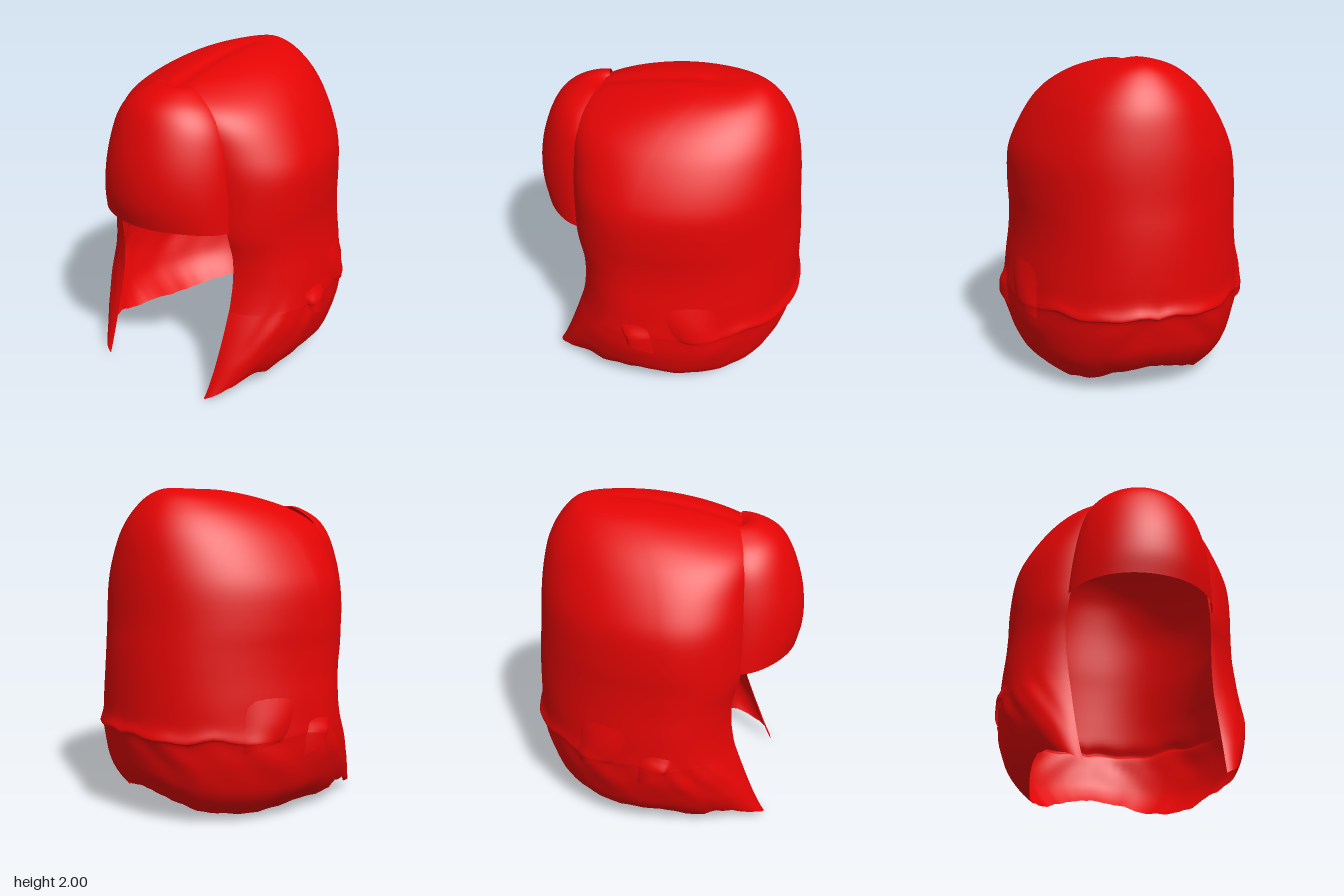
import * as THREE from 'three';

const red = new THREE.MeshStandardMaterial({ color: 0xe40404, side: THREE.DoubleSide });
red.name = 'hairRed';

const clamp01 = (x) => THREE.MathUtils.clamp(x, 0, 1);

// Smooth interpolation through the rows of a small table, k = fractional row index
function at(table, k) {
  const last = table.length - 1;
  const i = Math.min(Math.floor(k), last - 1), t = k - i;
  const row = (n) => table[Math.max(0, Math.min(last, n))];
  const [p, a, b, q] = [row(i - 1), row(i), row(i + 1), row(i + 2)];
  return a.map((_, c) => {
    const m0 = (b[c] - p[c]) / 2, m1 = (q[c] - a[c]) / 2, d = b[c] - a[c];
    return a[c] + m0 * t + (3 * d - 2 * m0 - m1) * t * t + (m0 + m1 - 2 * d) * t * t * t;
  });
}

// Linear lookup in a list of [key, value]
function lookup(list, x) {
  for (let i = 1; i < list.length; i++) {
    const [x0, y0] = list[i - 1], [x1, y1] = list[i];
    if (x <= x1) return y0 + (y1 - y0) * (x - x0) / (x1 - x0);
  }
  return list[list.length - 1][1];
}

// Grid surface from point(u, v), both 0..1
function surface(name, nu, nv, point) {
  const pos = [], idx = [];
  for (let j = 0; j <= nv; j++) {
    for (let i = 0; i <= nu; i++) {
      pos.push(...point(i / nu, j / nv));
      if (i < nu && j < nv) {
        const a = j * (nu + 1) + i, c = a + nu + 1;
        idx.push(a, a + 1, c, a + 1, c + 1, c);
      }
    }
  }
  const g = new THREE.BufferGeometry();
  g.setAttribute('position', new THREE.Float32BufferAttribute(pos, 3));
  g.setIndex(idx);
  g.computeVertexNormals();
  const mesh = new THREE.Mesh(g, red);
  mesh.name = name;
  return mesh;
}

// Hair levels, top to bottom: y, half width, back z, widest z, front edge x, front edge z
const levels = [
  [2.0, 0.0, -0.44, -0.28, 0, -0.12],
  [1.99, 0.12, -0.52, -0.25, 0, -0.05],
  [1.95, 0.26, -0.59, -0.18, 0, 0.2],
  [1.88, 0.385, -0.655, -0.08, 0, 0.47],
  [1.8, 0.48, -0.705, -0.02, 0.22, 0.51],
  [1.7, 0.565, -0.745, 0.03, 0.32, 0.53],
  [1.55, 0.655, -0.775, 0.06, 0.375, 0.53],
  [1.4, 0.713, -0.792, 0.08, 0.41, 0.53],
  [1.2, 0.728, -0.805, 0.08, 0.43, 0.53],
  [1.05, 0.725, -0.82, 0.08, 0.45, 0.52],
  [0.9, 0.732, -0.83, 0.08, 0.46, 0.485],
  [0.75, 0.75, -0.835, 0.08, 0.455, 0.48],
  [0.62, 0.762, -0.84, 0.08, 0.447, 0.495],
  [0.55, 0.769, -0.865, 0.08, 0.443, 0.509],
  [0.52, 0.77, -0.84, 0.08, 0.441, 0.518],
  [0.38, 0.765, -0.82, 0.08, 0.435, 0.565],
  [0.2, 0.72, -0.79, 0.08, 0.425, 0.63],
  [0.08, 0.675, -0.745, 0.06, 0.415, 0.68],
  [0.0, 0.63, -0.7, 0.05, 0.405, 0.72],
];

// Ragged bottom edge: 0 = back, 0.5 = side, 1 = front
const hem = [[0, 0.18], [0.1, 0.15], [0.2, 0.08], [0.28, 0.05], [0.4, 0.03], [0.5, 0.06],
  [0.64, 0.08], [0.68, 0.12], [0.74, 0.11], [0.88, 0.05], [1, 0]];

const wobble = (a, s) => Math.sin(a * 31 + s) * 0.6 + Math.sin(a * 57 + 2 * s) * 0.4;

// The hair leans a little to its right at face height
const lean = (y) => -0.014 * Math.exp(-Math.pow((y - 1) / 0.4, 2));

// Point on the hair at s (-1..1, 0 = back) and level k
function hairPoint(s, k, lift = 0) {
  let [y, w, zb, zc, xe, ze] = at(levels, k);
  w = Math.max(w, 0) + lift;
  xe = Math.max(xe, 0);
  const side = Math.sign(s), a = Math.abs(s);
  let x, z;
  if (a <= 0.5) {
    const t = a * Math.PI;
    x = w * Math.pow(Math.sin(t), 0.95);
    z = zc + (zb - lift - zc) * Math.pow(Math.max(Math.cos(t), 0), 0.95);
  } else {
    // front locks grow rounder towards the bottom
    const end = 1.25 + 0.3 * clamp01((0.7 - y) / 0.5);
    const t = (a - 0.5) * 2 * end;
    x = xe + (w - xe) * (Math.cos(t) - Math.cos(end)) / (1 - Math.cos(end));
    z = zc + (ze - zc) * Math.sin(t) / Math.sin(end);
  }
  // sides curl under near the bottom edge
  x *= 1 - 0.13 * Math.pow(clamp01((0.22 - y) / 0.22), 2) * clamp01((0.65 - a) * 5);
  // uneven, clumped lower hair
  const fade = Math.min(1, (1 - a) * 4);
  const low = Math.exp(-Math.pow((y - 0.42) / 0.17, 2)) * fade;
  const r = 1 + 0.01 * low * wobble(a, side + y * 9);
  const ledge = 0.02 * wobble(a, 0) * clamp01(1 - Math.abs(y - 0.55) / 0.2) * clamp01((0.62 - a) * 8);
  if (y < 0.55) {
    const base = lookup(hem, a) + 0.006 * wobble(a * 1.7, side) * fade;
    y = base + y * (0.55 - base) / 0.55;
  }
  y += ledge;
  // shallow centre parting
  if (y > 1.8 && z > -0.4) y -= 0.02 * Math.exp(-Math.pow(x / 0.05, 2)) * Math.min(1, (z + 0.4) * 6);
  return [side * x * r + lean(y), y, z * r];
}

// Fringe levels: y, half width, edge z, middle z
const fringeLevels = [
  [1.86, 0.06, 0.43, 0.45],
  [1.895, 0.12, 0.45, 0.54],
  [1.86, 0.21, 0.475, 0.64],
  [1.8, 0.295, 0.495, 0.72],
  [1.7, 0.365, 0.505, 0.78],
  [1.55, 0.41, 0.51, 0.835],
  [1.4, 0.435, 0.515, 0.865],
  [1.25, 0.45, 0.515, 0.868],
  [1.12, 0.458, 0.515, 0.84],
];

export function createModel() {
  const model = new THREE.Group();
  model.name = 'hair';

  const top = levels.length - 1;
  model.add(surface('hairShell', 96, top * 4, (u, v) => hairPoint(u * 2 - 1, v * top)));

  // Bulging fringe over the forehead
  const n = fringeLevels.length - 1;
  model.add(surface('fringe', 32, n * 4, (u, v) => {
    const [y, xe, ze, zf] = at(fringeLevels, v * n);
    const t = (u - 0.5) * Math.PI, edge = Math.pow(Math.sin(t), 4);
    const bulge = Math.pow(Math.max(Math.cos(t), 0), 1.2);
    return [-xe * Math.sin(t) + lean(y), y - 0.035 * edge * v, ze + (zf - ze) * bulge];
  }));

  // Loose locks lying on the sides: centre, half span, upper and lower level, lift
  const locks = [[0.38, 0.06, 10.6, 14.2, 0.03], [0.52, 0.05, 11.8, 14.6, 0.03]];
  for (const side of [-1, 1]) {
    locks.forEach(([c, h, k0, k1, lift], i) => {
      model.add(surface('sideLock' + (i + 1), 10, 10, (u, v) => {
        const across = (u - 0.5) * 2;
        const s = side * c + across * h * (1 - 0.3 * v) - side * 0.03 * v;
        const k = k0 + (k1 - k0) * v - 0.3 * across * side * v;
        return hairPoint(s, k, lift * Math.min(1, v * 3) * (1 - across * across * 0.8) - 0.004);
      }));
    });
  }
  return model;
}
